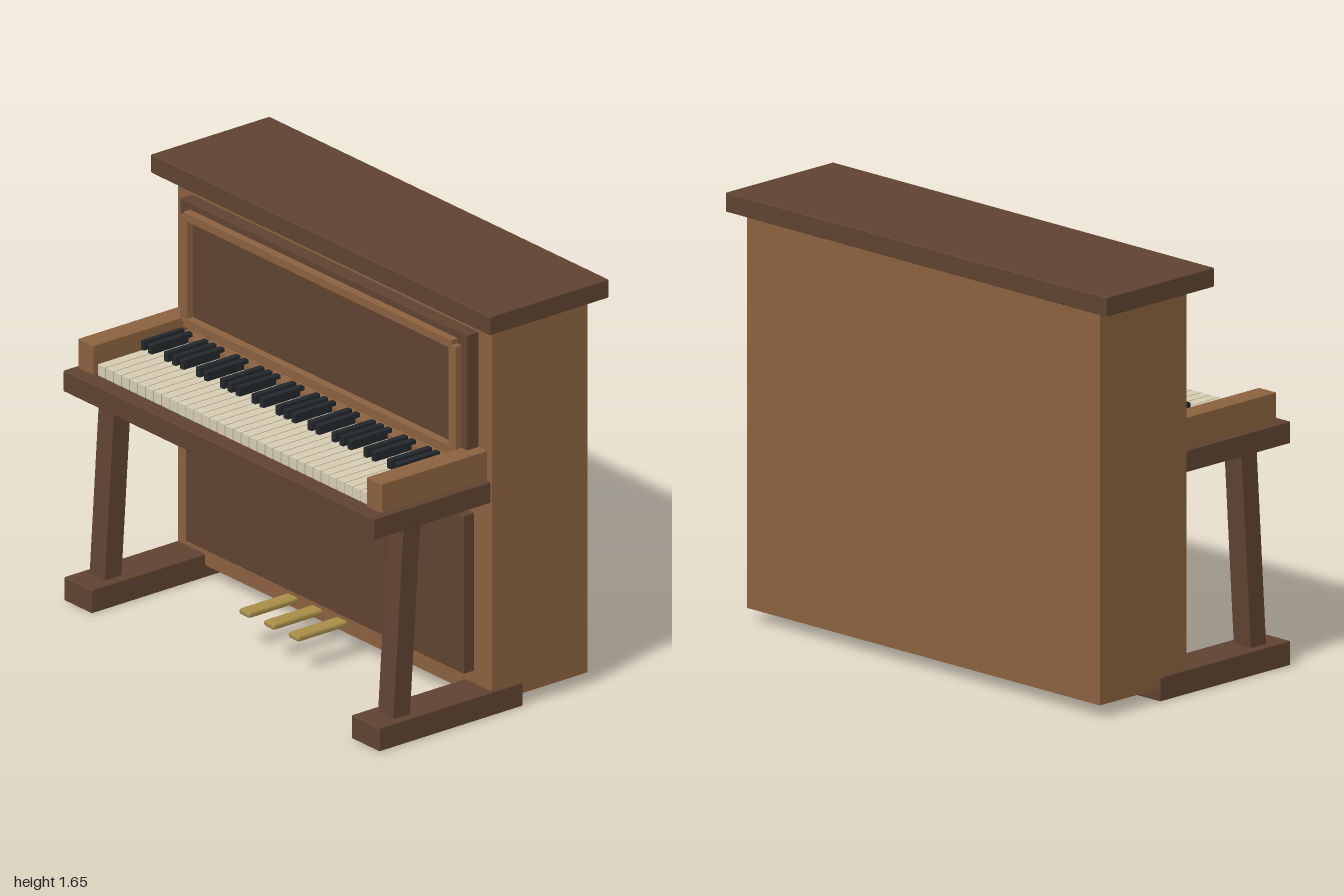
import * as THREE from 'three';
import { RoundedBoxGeometry } from 'three/addons/geometries/RoundedBoxGeometry.js';

const paint = (color) => new THREE.MeshStandardMaterial({ color });

export function createModel() {
  const piano = new THREE.Group();
  piano.name = 'uprightPiano';
  const darkWood = paint(0x5f4330);
  const lightWood = paint(0x8a613e);
  const ivory = paint(0xd6ccb2);
  const ebony = paint(0x23282c);
  const brass = paint(0xa88d48);

  // Box given by its extents on each axis, with an optional small chamfer
  function block(name, material, [x0, x1], [y0, y1], [z0, z1], bevel = 0, parent = piano) {
    const size = [x1 - x0, y1 - y0, z1 - z0];
    const geometry = bevel
      ? new RoundedBoxGeometry(...size, 1, bevel)
      : new THREE.BoxGeometry(...size);
    const mesh = new THREE.Mesh(geometry, material);
    mesh.position.set((x0 + x1) / 2, (y0 + y1) / 2, (z0 + z1) / 2);
    mesh.name = name;
    parent.add(mesh);
    return mesh;
  }

  // Same box on the left (+x) and right (-x)
  function pair(name, material, [x0, x1], y, z, bevel, parent) {
    return [
      block(name + 'Left', material, [x0, x1], y, z, bevel, parent),
      block(name + 'Right', material, [-x1, -x0], y, z, bevel, parent),
    ];
  }

  // Case
  block('cabinet', lightWood, [-0.925, 0.925], [0.05, 1.58], [-0.49, -0.03]);
  block('lid', darkWood, [-1, 1], [1.58, 1.655], [-0.53, 0.04], 0.004);
  block('lowerPanel', darkWood, [-0.82, 0.82], [0.145, 0.785], [-0.035, 0.02], 0.003);

  // Upper panel with its raised trim
  const front = new THREE.Group();
  front.name = 'upperFront';
  piano.add(front);
  block('upperPanel', darkWood, [-0.845, 0.845], [1.01, 1.525], [-0.035, 0.025], 0.003, front);
  block('trimTop', lightWood, [-0.79, 0.79], [1.46, 1.497], [0.02, 0.055], 0.003, front);
  block('trimBottom', lightWood, [-0.79, 0.79], [1.03, 1.068], [0.02, 0.055], 0.003, front);
  pair('trimSide', lightWood, [0.77, 0.813], [1.047, 1.477], [0.02, 0.054], 0.003, front);

  // Key bed and arms
  block('keyBed', darkWood, [-0.915, 0.915], [0.855, 0.94], [-0.035, 0.53], 0.004);
  pair('arm', lightWood, [0.805, 0.895], [0.94, 1.06], [-0.035, 0.475], 0.003);
  block('keySlip', lightWood, [-0.805, 0.805], [0.94, 1.005], [-0.03, 0.072]);

  // Keyboard: a black key sits on the seam before these steps of each octave
  const keyboard = new THREE.Group();
  keyboard.name = 'keyboard';
  piano.add(keyboard);
  const keyWidth = 0.047;
  const blackSteps = [0, 1, 3, 4, 5];
  for (let k = 0; k < 34; k++) {
    const x = -0.799 + k * keyWidth;
    block('whiteKey', ivory, [x + 0.0025, x + keyWidth - 0.0025], [0.94, 0.985], [0.07, 0.46], 0, keyboard);
    if (blackSteps.includes(k % 7)) {
      block('blackKey', ebony, [x - 0.012, x + 0.012], [0.97, 1.022], [0.05, 0.247], 0.002, keyboard);
    }
  }

  // Legs lean back toward the key bed
  for (const leg of pair('leg', darkWood, [0.805, 0.895], [0.09, 0.86], [0.315, 0.395])) {
    const p = leg.geometry.attributes.position;
    for (let i = 0; i < p.count; i++) p.setZ(i, p.getZ(i) - p.getY(i) * 0.065);
    leg.geometry.computeVertexNormals();
  }
  pair('foot', darkWood, [0.765, 0.93], [0, 0.095], [-0.175, 0.515], 0.005);

  // Pedals
  for (const x of [-0.145, 0, 0.145]) {
    block('pedal', brass, [x - 0.032, x + 0.032], [0.132, 0.157], [0.05, 0.29], 0.01);
  }

  return piano;
}
